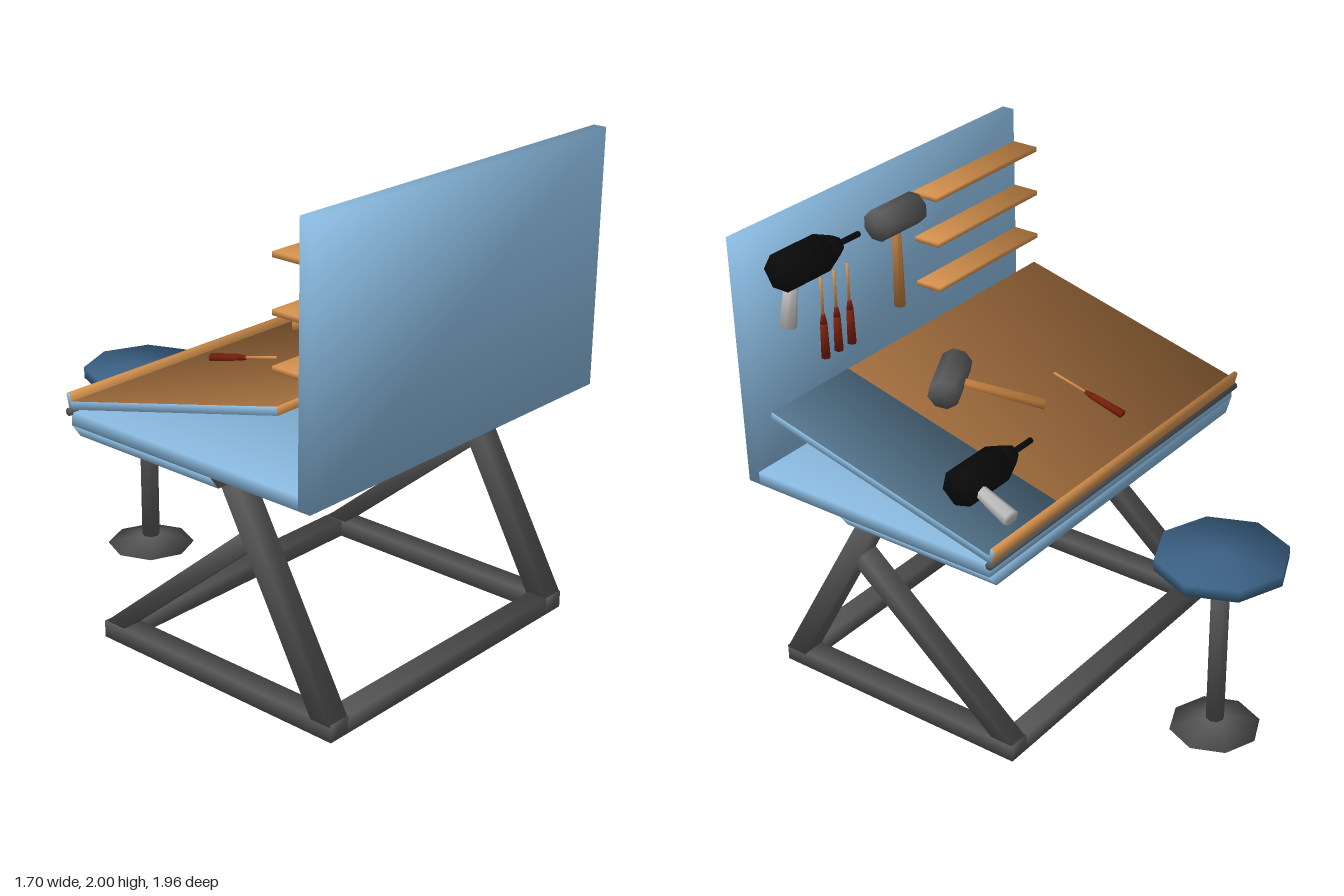
import * as THREE from 'three';
import { mergeVertices } from 'three/addons/utils/BufferGeometryUtils.js';

const mat = (name, color) => {
  const m = new THREE.MeshStandardMaterial({ color });
  m.name = name;
  return m;
};

// shared corners with soft normals, each face weighted by its corner angle
function soften(source) {
  source.deleteAttribute('normal');
  source.deleteAttribute('uv');
  const geo = mergeVertices(source, 1e-4);
  const pos = geo.attributes.position;
  const sums = Array.from({ length: pos.count }, () => new THREE.Vector3());
  for (let i = 0; i < geo.index.count; i += 3) {
    const ids = [0, 1, 2].map((k) => geo.index.getX(i + k));
    const p = ids.map((id) => new THREE.Vector3().fromBufferAttribute(pos, id));
    const n = new THREE.Triangle(...p).getNormal(new THREE.Vector3());
    for (let k = 0; k < 3; k++) {
      const u = p[(k + 1) % 3].clone().sub(p[k]);
      const v = p[(k + 2) % 3].clone().sub(p[k]);
      sums[ids[k]].addScaledVector(n, u.angleTo(v));
    }
  }
  const normals = sums.flatMap((s) => s.normalize().toArray());
  geo.setAttribute('normal', new THREE.Float32BufferAttribute(normals, 3));
  return geo;
}

export function createModel() {
  const root = new THREE.Group();
  root.name = 'workbenchWithStool';

  const lightBlue = mat('lightBlue', 0x8fc1e8);
  const slateBlue = mat('slateBlue', 0x53738b);
  const seatBlue = mat('seatBlue', 0x3b6185);
  const brown = mat('brownWood', 0xa06c3c);
  const orange = mat('orangeWood', 0xdc9650);
  const handleWood = mat('handleWood', 0xc3803f);
  const steel = mat('darkSteel', 0x585858);
  const black = mat('black', 0x0a0a0a);
  const silver = mat('silver', 0xc8c8c8);
  const red = mat('redHandle', 0x7d200c);

  const add = (name, geo, material, parent = root) => {
    const m = new THREE.Mesh(soften(geo), material);
    m.name = name;
    parent.add(m);
    return m;
  };
  // box from its minimum and maximum corners
  const box = (name, a, b, material, parent) => {
    const g = new THREE.BoxGeometry(b[0] - a[0], b[1] - a[1], b[2] - a[2]);
    g.translate((a[0] + b[0]) / 2, (a[1] + b[1]) / 2, (a[2] + b[2]) / 2);
    return add(name, g, material, parent);
  };
  // few-sided cylinder along y between two heights
  const cyl = (rTop, rBottom, y0, y1, sides) =>
    new THREE.CylinderGeometry(rTop, rBottom, y1 - y0, sides).translate(0, (y0 + y1) / 2, 0);
  const shapeOf = (pts) => new THREE.Shape(pts.map((p) => new THREE.Vector2(p[0], p[1])));
  const extrude = (pts, depth) =>
    new THREE.ExtrudeGeometry(shapeOf(pts), { depth, bevelEnabled: false });

  // back board and desk slab
  box('backBoard', [-0.84, 0.96, 0.925], [0.84, 2, 0.98], lightBlue);
  box('deskSlab', [-0.84, 0.96, -0.21], [0.84, 1.015, 0.925], lightBlue);

  // tray under the slab with slanted sides and four coloured panels
  const tray = [[-0.84, 0.96], [-0.8, 0.905], [0.8, 0.905], [0.84, 0.96]];
  add('underTray', extrude(tray, 0.72).translate(0, 0, -0.21), lightBlue);
  const panels = [
    ['greyPanel', [[-0.84, 0.96], [-0.8, 0.905], [-0.5, 0.905], [-0.5, 0.96]], steel],
    ['brownPanel', [[-0.5, 0.96], [-0.5, 0.905], [0, 0.905], [0, 0.96]], brown],
    ['bluePanel', [[0, 0.96], [0, 0.905], [0.5, 0.905], [0.5, 0.96]], slateBlue],
    ['redPanel', [[0.5, 0.96], [0.5, 0.905], [0.8, 0.905], [0.84, 0.96]], red],
  ];
  for (const [name, pts, m] of panels) {
    add(name, new THREE.ShapeGeometry(shapeOf(pts)).translate(0, 0, 0.512), m);
  }

  // tilted drawing board in two colours, with a stop rail at the low edge
  const slope = Math.atan2(0.26, 1.04);
  const board = new THREE.Group();
  board.name = 'tiltedBoard';
  board.position.set(0, 1.168, 0.31);
  board.rotation.x = -slope;
  root.add(board);
  const boardMats = (top) => [lightBlue, lightBlue, top, brown, orange, orange];
  box('boardWood', [-0.84, -0.015, -0.535], [0.4, 0.017, 0.535], boardMats(brown), board);
  box('boardPad', [0.4, -0.015, -0.535], [0.84, 0.017, 0.535], boardMats(slateBlue), board);
  box('stopRail', [-0.84, -0.015, -0.55], [0.84, 0.05, -0.532],
    [lightBlue, lightBlue, orange, orange, orange, orange], board);
  const rod = add('hingeRod', cyl(0.016, 0.016, -0.85, 0.85, 8).rotateZ(Math.PI / 2), steel);
  rod.position.set(0, 1.015, -0.215);

  // shelves
  for (const y of [1.445, 1.645, 1.845]) {
    box('shelf', [-0.84, y - 0.01, 0.805], [-0.16, y + 0.01, 0.925], orange);
  }

  // base frame, legs and braces
  const leg = [[0.98, 0.08], [0.882, 0.08], [0.42, 0.91], [0.51, 0.91]];
  const brace = [[0.55, 0.72], [0.58, 0.655], [-0.1, 0.085], [-0.2, 0.085]];
  const sidePiece = (pts, width) =>
    extrude(pts, width).translate(0, 0, -width / 2).rotateY(-Math.PI / 2);
  for (const s of [-1, 1]) {
    const rail = box('sideRail', [-0.0475, 0.02, -0.2], [0.0475, 0.09, 0.98], steel);
    rail.position.x = s * 0.6675;
    add('leg', sidePiece(leg, 0.095), steel).position.x = s * 0.6675;
    add('brace', sidePiece(brace, 0.085), steel).position.x = s * 0.6675;
  }
  for (const z of [-0.2, 0.89]) {
    box('crossRail', [-0.62, 0.02, z], [0.62, 0.09, z + 0.09], steel);
  }

  // stool
  const stool = new THREE.Group();
  stool.name = 'stool';
  stool.position.set(0.036, 0, -0.711);
  root.add(stool);
  add('stoolSeat', cyl(0.268, 0.268, 0.78, 0.828, 8), seatBlue, stool);
  add('stoolPost', cyl(0.038, 0.038, 0.03, 0.78, 8), steel, stool);
  add('stoolFoot', cyl(0.045, 0.187, 0.003, 0.042, 8), steel, stool);

  // tools are built upright in their own xy plane, then hung up or laid down
  const onWall = 0;
  const onBoard = Math.PI / 2 - slope;
  const place = (name, x, y, z, rx, rz = 0) => {
    const g = new THREE.Group();
    g.name = name;
    g.position.set(x, y, z);
    g.rotation.set(rx, 0, rz);
    root.add(g);
    return g;
  };

  const drill = (x, y, z, rx) => {
    const g = place('drill', x, y, z, rx);
    // round part along x, from radius ra at a to radius rb at b
    const part = (name, a, ra, b, rb) =>
      add(name, cyl(ra, rb, -b, -a, 6).rotateZ(Math.PI / 2), black, g);
    part('drillBody', -0.08, 0.077, 0.155, 0.077);
    part('drillNose', -0.165, 0.04, -0.08, 0.077);
    part('drillBit', -0.295, 0.012, -0.165, 0.012);
    const grip = add('drillGrip', cyl(0.026, 0.036, -0.235, -0.04, 6), silver, g);
    grip.position.x = 0.085;
    grip.rotation.z = 0.2;
  };

  const hammer = (x, y, z, rx, rz) => {
    const g = place('hammer', x, y, z, rx, rz);
    const head = cyl(0.066, 0.066, -0.118, 0.118, 8).rotateY(Math.PI / 8).rotateZ(Math.PI / 2);
    add('hammerHead', head, steel, g);
    add('hammerHandle', cyl(0.018, 0.025, -0.39, 0, 6), handleWood, g);
  };

  const screwdriver = (x, y, z, rx) => {
    const g = place('screwdriver', x, y, z, rx);
    add('screwdriverHandle', cyl(0.015, 0.019, -0.09, 0.06, 6), red, g);
    add('screwdriverNeck', cyl(0.008, 0.015, 0.06, 0.1, 6), red, g);
    add('screwdriverShaft', cyl(0.006, 0.006, 0.1, 0.26, 6), orange, g);
  };

  drill(0.56, 1.84, 0.848, onWall);
  drill(0.56, 1.19, 0.025, onBoard);
  hammer(0.035, 1.83, 0.855, onWall, 0);
  hammer(0.205, 1.295, 0.465, onBoard, -0.46);
  for (const x of [0.28, 0.358, 0.436]) screwdriver(x, 1.445, 0.906, onWall);
  screwdriver(-0.235, 1.125, 0.025, onBoard);

  return root;
}
